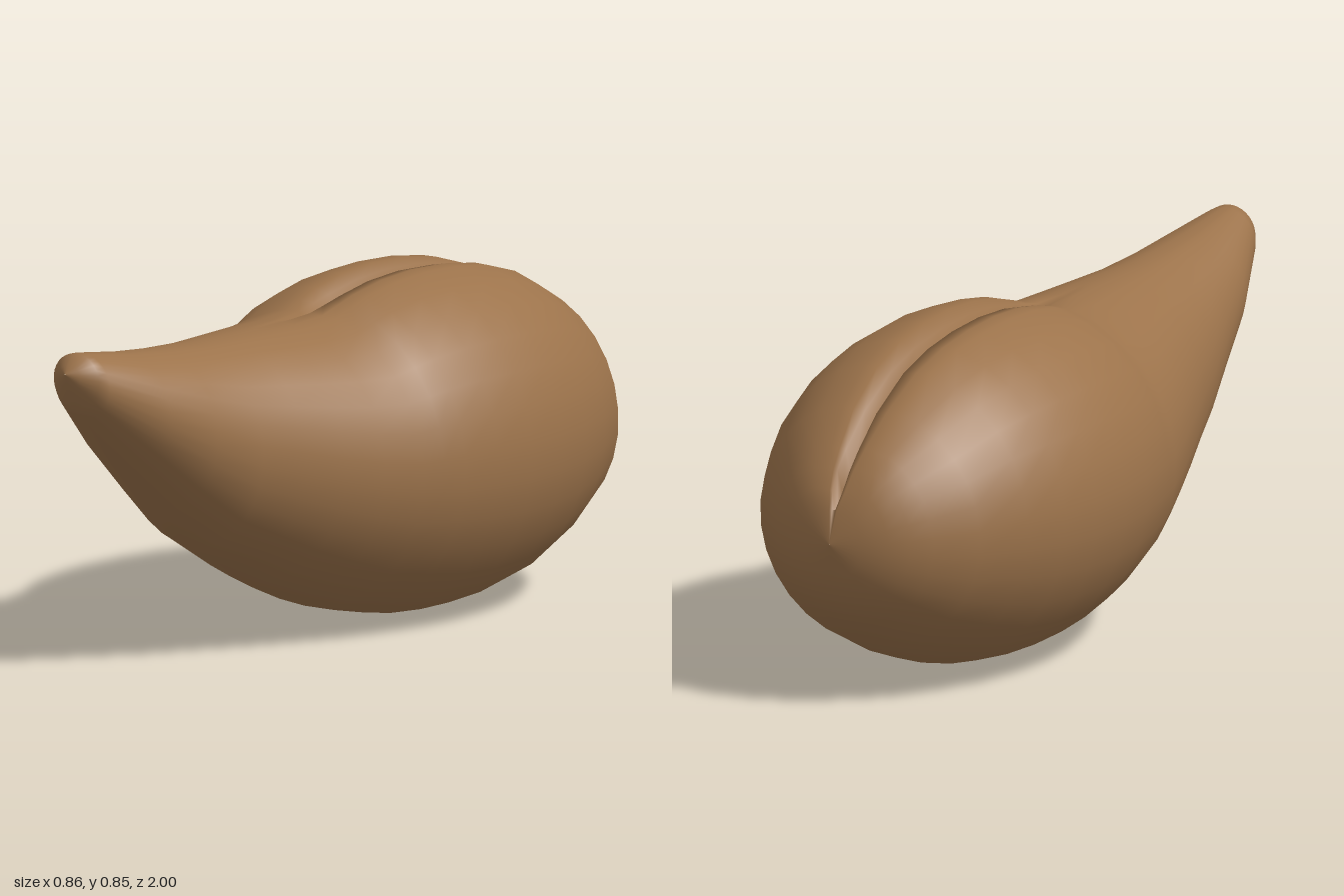
import * as THREE from 'three';

// Stations along the body: z, half width, top, bottom
const stations = [
  [1, 0.001, 0.79, 0.788], [0.985, 0.035, 0.81, 0.75], [0.955, 0.07, 0.835, 0.7], [0.93, 0.085, 0.833, 0.67],
  [0.77, 0.15, 0.81, 0.52], [0.63, 0.187, 0.797, 0.395], [0.5, 0.225, 0.79, 0.285], [0.38, 0.263, 0.79, 0.22],
  [0.27, 0.3, 0.79, 0.16], [0.16, 0.337, 0.79, 0.11], [0.05, 0.37, 0.797, 0.065], [-0.01, 0.388, 0.815, 0.05],
  [-0.07, 0.405, 0.832, 0.035], [-0.18, 0.423, 0.851, 0.012], [-0.3, 0.432, 0.858, 0.003], [-0.43, 0.425, 0.852, 0.009],
  [-0.55, 0.406, 0.835, 0.028], [-0.67, 0.37, 0.8, 0.068], [-0.8, 0.31, 0.73, 0.13], [-0.89, 0.23, 0.655, 0.205],
  [-0.93, 0.188, 0.615, 0.245], [-0.96, 0.143, 0.57, 0.29], [-0.985, 0.085, 0.515, 0.345], [-1, 0.001, 0.431, 0.429],
];

// Angles from the top, down one side, tighter at the lips of the slit
function sideAngles(w) {
  const angles = [0, Math.min(0.017 / w, 0.1), 0.15, 0.25];
  for (let i = 1; i <= 14; i++) angles.push(0.25 + (Math.PI - 0.25) * i / 14);
  return angles;
}

// Closed cross-section with a narrow slit between two rounded lobes
function ring([z, w, top, bottom]) {
  const open = THREE.MathUtils.smoothstep(-z, -0.1, 0.08) * (z < -0.97 ? 0 : 1);
  const mid = (top + bottom) / 2;
  const half = (top - bottom) / 2;
  const side = sideAngles(w).map((a, i) => {
    const x = w * Math.sin(a);
    const e = half + (a < Math.PI / 2 ? 0.009 * open : 0);
    let y = mid + e * Math.cos(a);
    if (a < 1) y -= open * 0.024 * Math.exp(-((x / 0.06) ** 2));
    if (i === 0) y -= open * Math.min(0.07, half * 0.5);
    return [x, y, z];
  });
  const mirrored = side.slice(1, -1).reverse().map(([x, y, zz]) => [-x, y, zz]);
  return [...side, ...mirrored];
}

function bodyGeometry() {
  const rings = stations.map(ring);
  const n = rings[0].length;
  const index = [];
  for (let i = 0; i < rings.length - 1; i++) {
    for (let j = 0; j < n; j++) {
      const a = i * n + j, b = i * n + (j + 1) % n;
      index.push(a, b, a + n, b, b + n, a + n);
    }
  }
  const geometry = new THREE.BufferGeometry();
  geometry.setAttribute('position', new THREE.Float32BufferAttribute(rings.flat(2), 3));
  geometry.setIndex(index);
  geometry.computeVertexNormals();
  return geometry;
}

export function createModel() {
  const brown = new THREE.MeshStandardMaterial({ color: 0x9c734b });
  brown.name = 'brown';
  const body = new THREE.Mesh(bodyGeometry(), brown);
  body.name = 'seedBody';
  const model = new THREE.Group();
  model.name = 'seed';
  model.add(body);
  return model;
}
